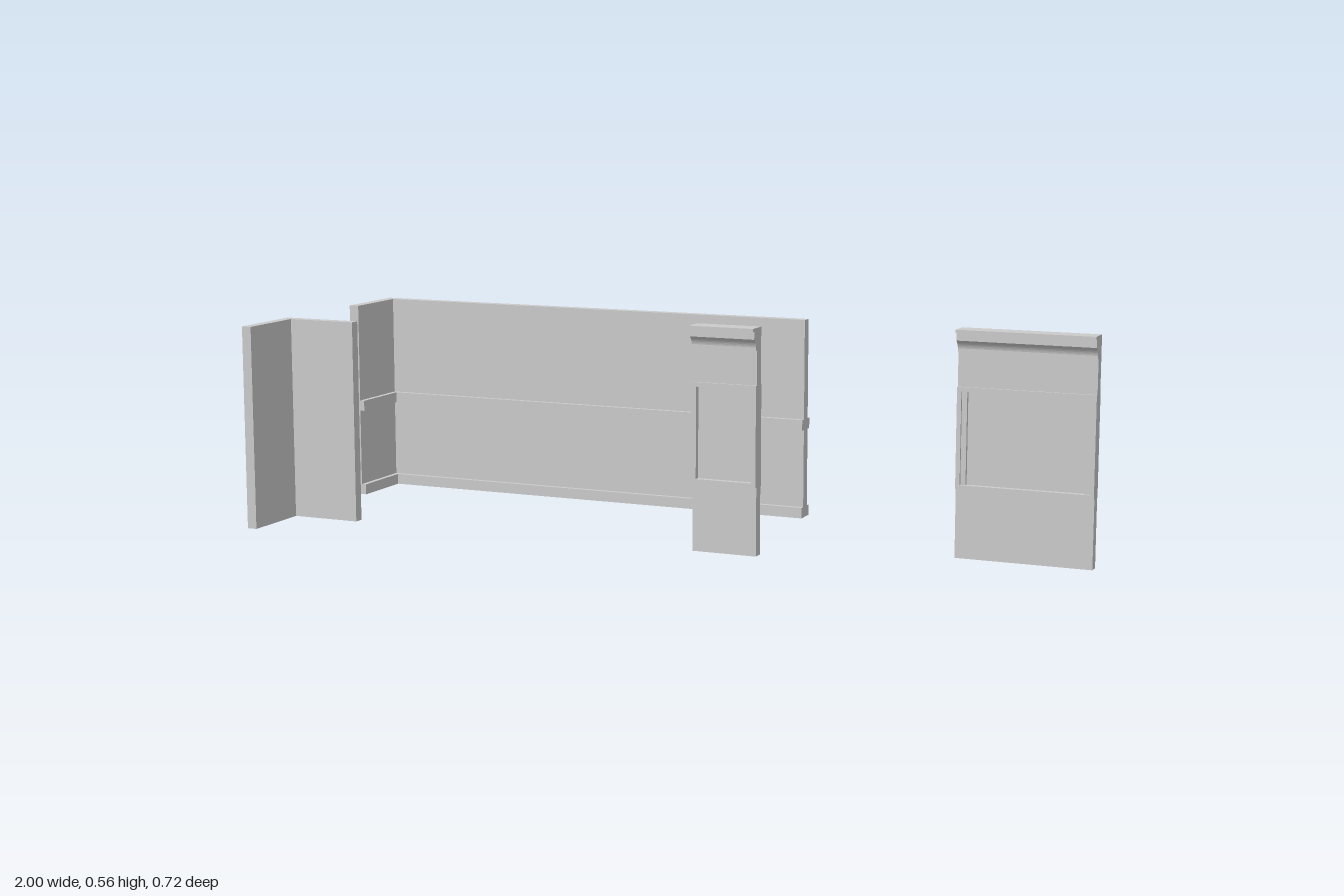
import * as THREE from 'three';

const material = new THREE.MeshStandardMaterial({ color: 0xcccccc, flatShading: true });

function add(parent, name, geometry) {
  const mesh = new THREE.Mesh(geometry, material);
  mesh.name = name;
  parent.add(mesh);
  return mesh;
}

function polygon(points) {
  return new THREE.Shape(points.map(([x, y]) => new THREE.Vector2(x, y)));
}

// L-shaped plan with its corner at (x0, z0), raised from y0 to y1
function cornerPrism(x0, z0, x1, z1, t, y0, y1) {
  const plan = [[x0, z0], [x1, z0], [x1, z0 + t], [x0 + t, z0 + t], [x0 + t, z1], [x0, z1]];
  const g = new THREE.ExtrudeGeometry(polygon(plan.map(([x, z]) => [x, -z])),
    { depth: y1 - y0, bevelEnabled: false });
  return g.rotateX(-Math.PI / 2).translate(0, y0, 0);
}

// Rectangular board in the xy plane with a rectangular opening
function framedBoard(w, y0, y1, hw, h0, h1, zBack, zFront) {
  const shape = polygon([[-w / 2, y0], [w / 2, y0], [w / 2, y1], [-w / 2, y1]]);
  shape.holes.push(polygon([[-hw / 2, h0], [-hw / 2, h1], [hw / 2, h1], [hw / 2, h0]]));
  return new THREE.ExtrudeGeometry(shape, { depth: zFront - zBack, bevelEnabled: false })
    .translate(0, 0, zBack);
}

// Window wall section: z is measured from the cornice's front edge
function windowPanel(name, x, z, w, sideMargin) {
  const group = new THREE.Group();
  group.name = name;
  const hw = w - 2 * sideMargin;
  add(group, 'wallPanel', framedBoard(w, 0, 0.51, hw, 0.181, 0.409, -0.053, -0.027));
  add(group, 'windowFrame', framedBoard(w, 0.17, 0.42, w - 0.022, 0.181, 0.409, -0.056, -0.021));
  add(group, 'windowPane', new THREE.BoxGeometry(hw, 0.228, 0.008).translate(0, 0.295, -0.04));

  // Cornice with a cove under a projecting lip
  const profile = new THREE.Shape();
  profile.moveTo(-0.053, 0.505);
  profile.lineTo(-0.021, 0.505);
  profile.lineTo(-0.021, 0.513);
  profile.quadraticCurveTo(-0.019, 0.524, -0.008, 0.533);
  profile.lineTo(-0.008, 0.552);
  profile.lineTo(0, 0.552);
  profile.lineTo(0, 0.56);
  profile.lineTo(-0.053, 0.56);
  profile.closePath();
  const cornice = new THREE.ExtrudeGeometry(profile,
    { depth: w, bevelEnabled: false, curveSegments: 6 });
  add(group, 'cornice', cornice.rotateY(-Math.PI / 2).translate(w / 2, 0, 0));
  group.position.set(x, 0, z);
  return group;
}

export function createModel() {
  const model = new THREE.Group();
  model.name = 'wallSections';

  // Plain corner section
  add(model, 'plainCorner', cornerPrism(-0.988, 0.155, -0.785, 0.36, 0.025, 0.043, 0.547));

  // Long corner wall with skirting and middle rail on both faces
  const wall = new THREE.Group();
  wall.name = 'longCornerWall';
  add(wall, 'wall', cornerPrism(-0.988, -0.348, 0.225, -0.142, 0.026, 0.043, 0.547));
  for (const [name, y0, y1] of [['skirting', 0.043, 0.07], ['middleRail', 0.268, 0.295]]) {
    add(wall, name, cornerPrism(-1, -0.36, 0.225, -0.142, 0.05, y0, y1));
  }
  model.add(wall);

  // Window sections
  model.add(windowPanel('narrowWindowPanel', 0.131, 0, 0.168, 0.011));
  model.add(windowPanel('wideWindowPanel', 0.83, -0.183, 0.34, 0.024));
  return model;
}
